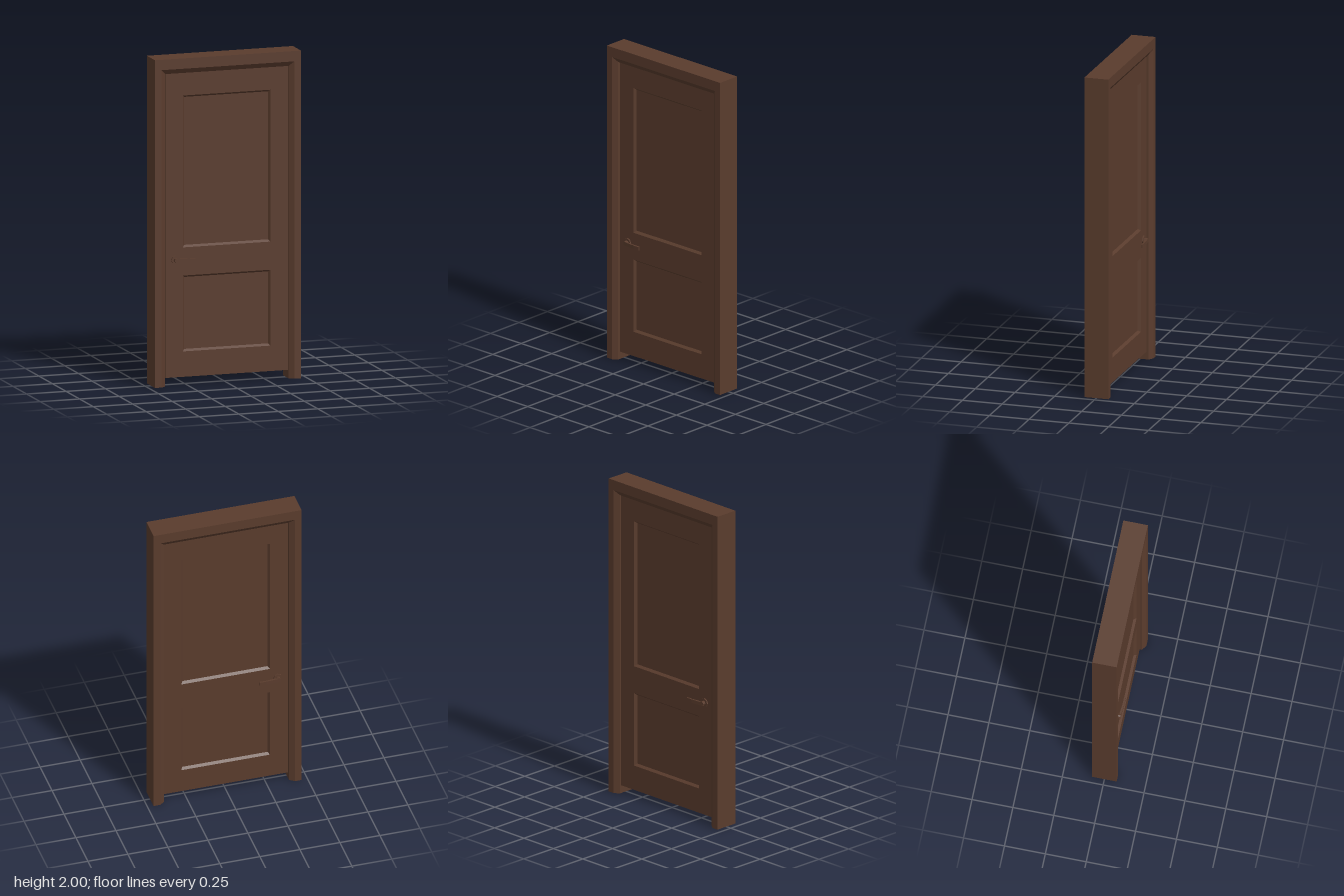
import * as THREE from 'three';

const wood = new THREE.MeshStandardMaterial({ color: 0x5a3c2d });
wood.name = 'dark brown wood';

function add(parent, name, geometry) {
  const mesh = new THREE.Mesh(geometry, wood);
  mesh.name = name;
  parent.add(mesh);
  return mesh;
}

// Flat-sided geometry from quads and fans of points
function facesGeometry(faces) {
  const pos = [];
  for (const f of faces) {
    for (let i = 1; i < f.length - 1; i++) pos.push(...f[0], ...f[i], ...f[i + 1]);
  }
  const g = new THREE.BufferGeometry();
  g.setAttribute('position', new THREE.Float32BufferAttribute(pos, 3));
  g.computeVertexNormals();
  return g;
}

// Frame: a bevelled profile (inset, depth) swept up, across and down
function frameGeometry() {
  const profile = [[0, -0.075], [0.042, -0.075], [0.072, -0.053], [0.072, 0.053], [0.042, 0.075], [0, 0.075]];
  const top = t => 2 - (t > 0 ? t + 0.021 : 0);
  const stations = [
    profile.map(([t, z]) => [-0.4625 + t, 0, z]),
    profile.map(([t, z]) => [-0.4625 + t, top(t), z]),
    profile.map(([t, z]) => [0.4625 - t, top(t), z]),
    profile.map(([t, z]) => [0.4625 - t, 0, z]),
  ];
  const faces = [stations[0], [...stations[3]].reverse()];
  for (let s = 0; s < 3; s++) {
    const a = stations[s], b = stations[s + 1];
    for (let i = 0; i < profile.length; i++) {
      const j = (i + 1) % profile.length;
      faces.push([a[i], b[i], b[j], a[j]]);
    }
  }
  return facesGeometry(faces);
}

// Sunken panel with a sloped rim, facing +z
function panelGeometry(w, h, slope, depth) {
  const rect = (e, z) => [[-1, -1], [1, -1], [1, 1], [-1, 1]].map(([x, y]) => [x * (w / 2 - e), y * (h / 2 - e), z]);
  const outer = rect(0, 0), inner = rect(slope, -depth);
  const faces = [inner];
  for (let i = 0; i < 4; i++) {
    const j = (i + 1) % 4;
    faces.push([outer[i], outer[j], inner[j], inner[i]]);
  }
  return facesGeometry(faces);
}

function rectangle(Type, x0, y0, x1, y1) {
  return new Type([[x0, y0], [x1, y0], [x1, y1], [x0, y1]].map(p => new THREE.Vector2(...p)));
}

export function createModel() {
  const model = new THREE.Group();
  model.name = 'door';
  add(model, 'frame', frameGeometry());

  // Door leaf with two openings
  const half = 0.043;
  const openings = [['upperPanel', 0.84, 1.767], ['lowerPanel', 0.205, 0.668]];
  const leaf = rectangle(THREE.Shape, -0.386, 0.05, 0.392, 1.912);
  for (const [, y0, y1] of openings) leaf.holes.push(rectangle(THREE.Path, -0.275, y0, 0.28, y1));
  const leafGeometry = new THREE.ExtrudeGeometry(leaf, { depth: half * 2, bevelEnabled: false });
  leafGeometry.translate(0, 0, -half);
  add(model, 'doorLeaf', leafGeometry);

  for (const side of [1, -1]) {
    // Sunken panels
    for (const [name, y0, y1] of openings) {
      const panel = add(model, name, panelGeometry(0.555, y1 - y0, 0.012, 0.016));
      panel.position.set(0.0025, (y0 + y1) / 2, side * half);
      if (side < 0) panel.rotation.y = Math.PI;
    }

    // Handle: eight-sided rose, neck and bent lever
    const handle = new THREE.Group();
    handle.name = side > 0 ? 'frontHandle' : 'backHandle';
    handle.position.set(-0.322, 0.767, side * half);
    model.add(handle);
    for (const [name, r, length] of [['rose', 0.028, 0.008], ['neck', 0.014, 0.028]]) {
      const g = new THREE.CylinderGeometry(r, r, length, 8).toNonIndexed();
      g.rotateX(Math.PI / 2);
      g.computeVertexNormals();
      add(handle, name, g).position.z = side * length / 2;
    }
    const outline = [[-0.01, 0.016], [0.08, 0.024], [0.12, 0.024], [0.12, 0.0345], [0.08, 0.0345], [-0.01, 0.028]];
    const lever = new THREE.Shape(outline.map(([x, z]) => new THREE.Vector2(x, side * z)));
    const leverGeometry = new THREE.ExtrudeGeometry(lever, { depth: 0.022, bevelEnabled: false });
    leverGeometry.rotateX(Math.PI / 2);
    leverGeometry.translate(0, 0.009, 0);
    add(handle, 'lever', leverGeometry);
  }
  return model;
}
